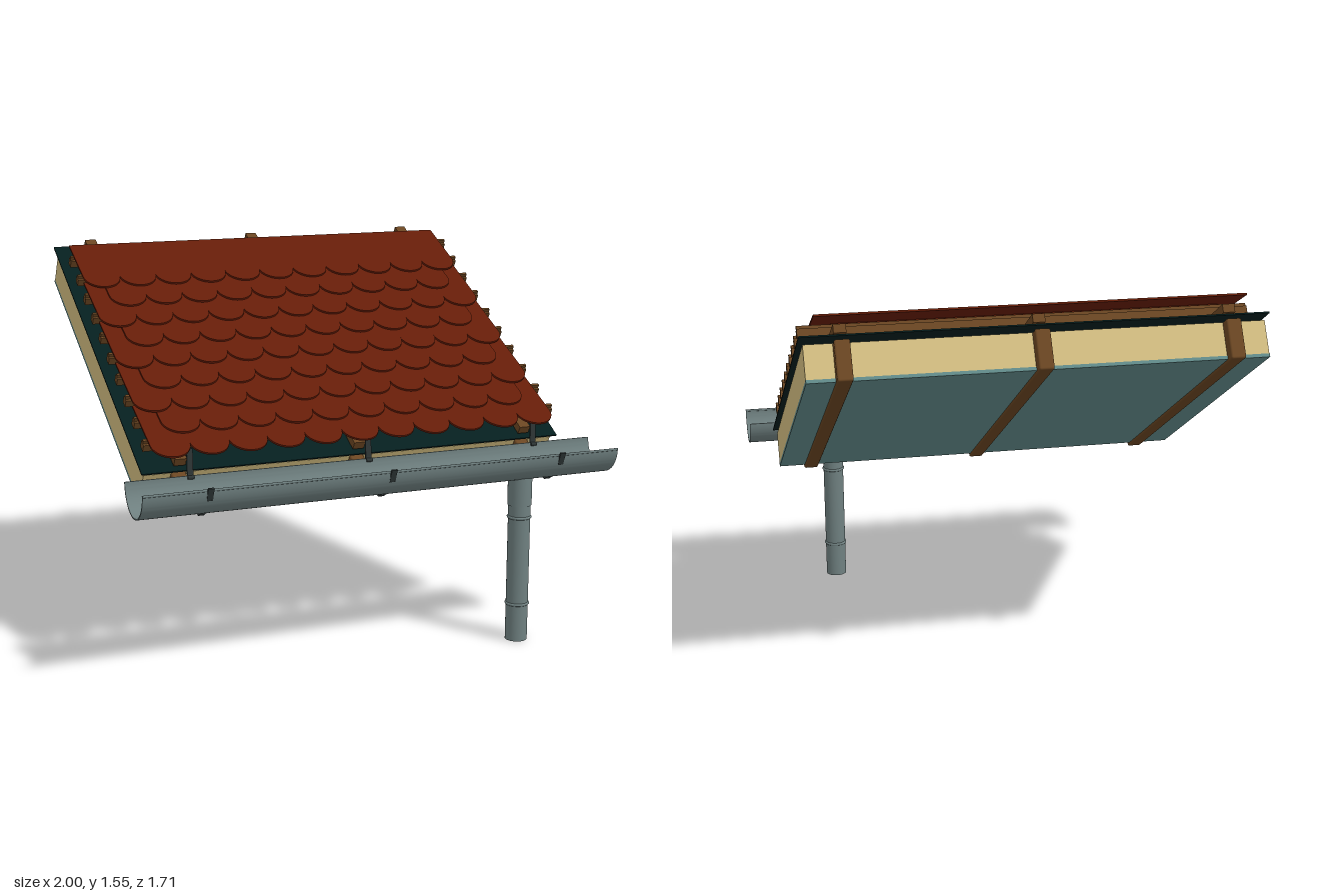
import * as THREE from 'three';
import { RoundedBoxGeometry } from 'three/addons/geometries/RoundedBoxGeometry.js';
import { toCreasedNormals } from 'three/addons/utils/BufferGeometryUtils.js';

const mat = (name, color, side = THREE.FrontSide) => {
  const m = new THREE.MeshStandardMaterial({ color, side });
  m.name = name;
  return m;
};

export function createModel() {
  const clay = mat('clay tile', 0x661d08);
  const wood = mat('brown timber', 0x6b4622);
  const cream = mat('cream insulation', 0xd2bd80);
  const darkSheet = mat('dark membrane', 0x061f1f);
  const tealSheet = mat('teal lining', 0x628c8b);
  const zinc = mat('grey zinc', 0x6f8080, THREE.DoubleSide);
  const iron = mat('dark iron', 0x2e3636);

  const model = new THREE.Group();
  model.name = 'roofSection';
  const add = (parent, name, geometry, material, x = 0, y = 0, z = 0) => {
    const mesh = new THREE.Mesh(geometry, material);
    mesh.name = name;
    mesh.position.set(x, y, z);
    parent.add(mesh);
    return mesh;
  };

  // Sloping layers: s runs up the slope, h runs out from it
  const slope = new THREE.Group();
  slope.name = 'roofLayers';
  slope.position.y = 0.886;
  slope.rotation.x = Math.PI / 6;
  model.add(slope);
  const layer = (name, material, x, width, s0, s1, h0, h1, radius = 0) => {
    const size = [width, h1 - h0, s1 - s0];
    const geometry = radius
      ? new RoundedBoxGeometry(...size, 2, radius)
      : new THREE.BoxGeometry(...size);
    return add(slope, name, geometry, material, x, (h0 + h1) / 2, -(s0 + s1) / 2);
  };

  layer('innerLining', tealSheet, 0, 1.78, -0.485, 0.946, 0.003, 0.017);
  layer('insulation', cream, 0, 1.78, -0.48, 0.942, 0.017, 0.151);
  layer('membrane', darkSheet, 0, 1.81, -0.499, 0.967, 0.171, 0.177);

  for (const x of [-0.75, 0, 0.75]) {
    layer('rafter', wood, x, 0.06, -0.52, 0.988, -0.006, 0.153, 0.008);
    layer('counterBatten', wood, x, 0.048, -0.48, 0.95, 0.187, 0.221);
  }

  // Tile battens with a narrow raised rib
  for (let i = 0; i < 10; i++) {
    const s = -0.4145 + i * 0.1305;
    layer('tileBatten', wood, 0, 1.78, s - 0.016, s + 0.016, 0.23, 0.261);
    layer('battenRib', wood, 0, 1.78, s - 0.006, s + 0.006, 0.26, 0.275);
  }

  // Round-ended tiles in staggered, overlapping rows
  const pitch = 0.156, r = 0.078, length = 0.327;
  const outline = new THREE.Shape();
  outline.moveTo(r, length);
  outline.lineTo(-r, length);
  outline.lineTo(-r, r);
  outline.absarc(0, r, r, Math.PI, Math.PI * 2, false);
  outline.closePath();
  const tileGeometry = new THREE.ExtrudeGeometry(outline, {
    depth: 0.008, bevelEnabled: false, curveSegments: 16,
  });
  tileGeometry.rotateX(-Math.PI / 2);
  const tiles = new THREE.Group();
  tiles.name = 'tiles';
  model.add(tiles);
  for (let row = 0; row < 9; row++) {
    const odd = row % 2;
    for (let i = 0; i < 11 - odd; i++) {
      const x = -0.89 + pitch * (i + 0.5 + odd / 2);
      const tile = add(tiles, 'tile', tileGeometry, clay, x, 0.875 + row * 0.0657, 0.655 - row * 0.113);
      tile.rotation.x = Math.atan2(0.143, 0.293);
    }
  }

  // Half-round gutter with a rolled front lip
  const gz = 0.727, gy = 0.792, gr = 0.116;
  const section = new THREE.Shape();
  section.absarc(0, 0, gr, Math.PI, Math.PI * 2, false);
  section.absarc(0, 0, gr - 0.005, Math.PI * 2, Math.PI, true);
  section.closePath();
  const gutter = new THREE.ExtrudeGeometry(section, {
    depth: 2, bevelEnabled: false, curveSegments: 24,
  });
  gutter.translate(0, 0, -1);
  gutter.rotateY(-Math.PI / 2);
  add(model, 'gutter', toCreasedNormals(gutter, 0.6), zinc, 0, gy, gz);
  const rod = (name, radius, len, material, x, y, z) => {
    const mesh = add(model, name, new THREE.CylinderGeometry(radius, radius, len, 12), material, x, y, z);
    mesh.rotation.z = Math.PI / 2;
  };
  rod('gutterLip', 0.005, 2, zinc, 0, gy - 0.003, gz + gr - 0.002);

  // Bent strap brackets holding the gutter, points as [z, y]
  const bend = [
    [0.602, 0.893], [0.606, 0.797], [0.618, 0.742], [0.643, 0.708], [0.689, 0.68], [0.73, 0.669],
    [0.763, 0.687], [0.808, 0.717], [0.832, 0.75], [0.851, 0.797],
  ];
  for (const x of [-0.74, 0, 0.74]) {
    const bracket = new THREE.Group();
    bracket.name = 'gutterBracket';
    model.add(bracket);
    for (let i = 1; i < bend.length; i++) {
      const [z0, y0] = bend[i - 1], [z1, y1] = bend[i];
      const len = Math.hypot(z1 - z0, y1 - y0) + 0.004;
      const bar = add(bracket, 'strap', new THREE.BoxGeometry(0.024, 0.007, len), iron,
        x, (y0 + y1) / 2, (z0 + z1) / 2);
      bar.rotation.x = -Math.atan2(y1 - y0, z1 - z0);
    }
    rod('bracketClip', 0.008, 0.026, iron, x, 0.785, 0.615);
  }

  // Downpipe with outlet sleeve and joint rings
  const px = 0.617, pz = 0.73;
  const tube = (name, radius, y0, y1) => add(model, name,
    new THREE.CylinderGeometry(radius, radius, y1 - y0, 32, 1, true), zinc, px, (y0 + y1) / 2, pz);
  tube('downpipe', 0.045, 0, 0.6);
  tube('outletSleeve', 0.049, 0.57, 0.7);
  tube('outletLining', 0.045, 0.6, 0.7);
  for (const y of [0.57, 0.7]) {
    const edge = add(model, 'sleeveEdge', new THREE.RingGeometry(0.045, 0.049, 32), zinc, px, y, pz);
    edge.rotation.x = -Math.PI / 2;
  }
  for (const y of [0.155, 0.52]) {
    const ring = add(model, 'jointRing', new THREE.TorusGeometry(0.044, 0.006, 16, 32), zinc, px, y, pz);
    ring.rotation.x = Math.PI / 2;
  }
  return model;
}
